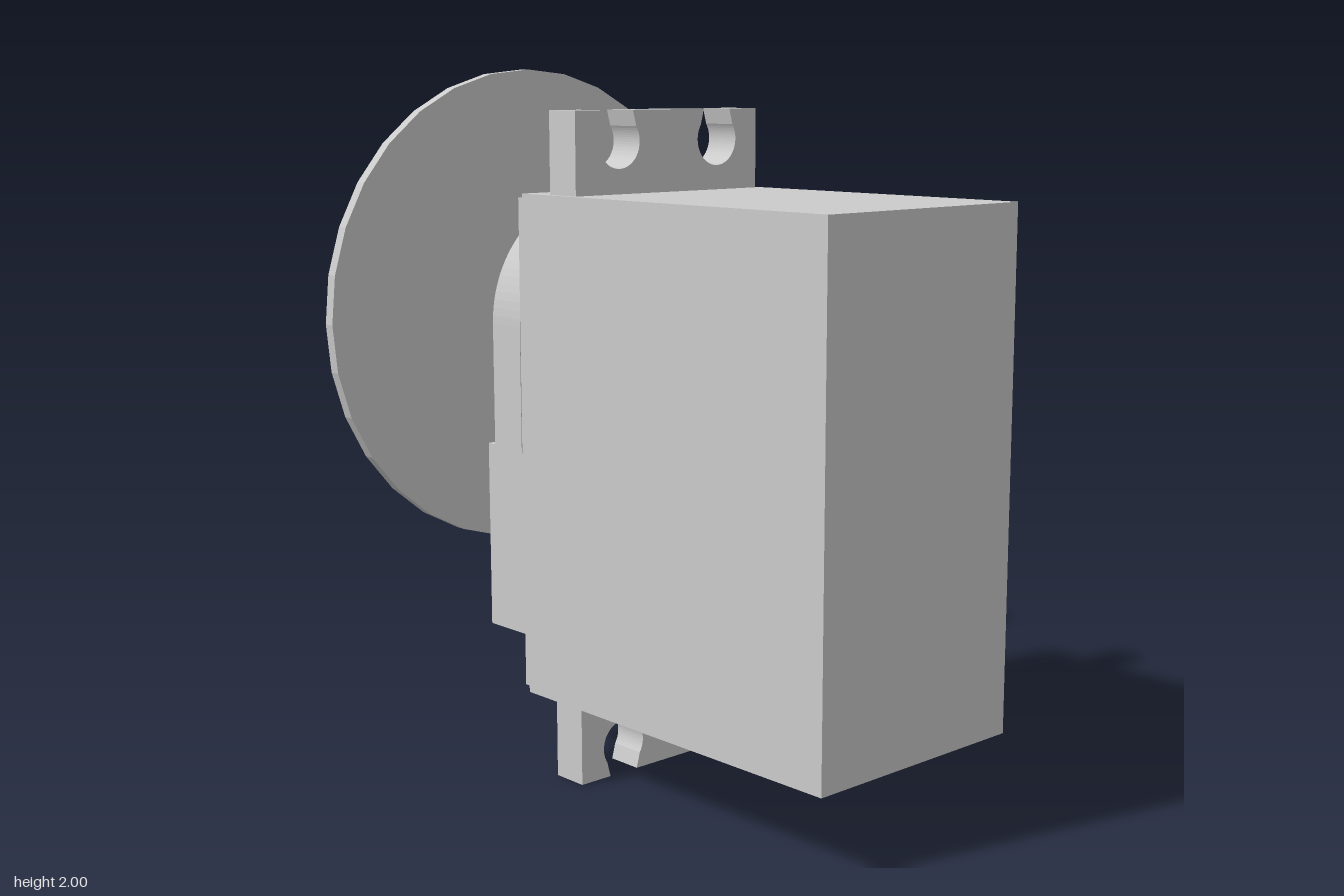
import * as THREE from 'three';

export function createModel() {
  const model = new THREE.Group();
  const material = new THREE.MeshStandardMaterial({ color: 0xcccccc, flatShading: true });
  const shaftY = 1.288;

  function add(name, geometry, x = 0, y = 0, z = 0, parent = model) {
    const mesh = new THREE.Mesh(geometry, material);
    mesh.name = name;
    mesh.position.set(x, y, z);
    parent.add(mesh);
    return mesh;
  }
  // Box given by its limits; always centred on x = 0
  function block(name, width, y0, y1, z0, z1, parent) {
    return add(name, new THREE.BoxGeometry(width, y1 - y0, z1 - z0), 0, (y0 + y1) / 2, (z0 + z1) / 2, parent);
  }
  // Outline in x/y, extruded from z0 to z1
  function slab(name, shape, z0, z1, y = 0, parent = model) {
    const geometry = new THREE.ExtrudeGeometry(shape, { depth: z1 - z0, bevelEnabled: false, curveSegments: 24 });
    return add(name, geometry, 0, y, z0, parent);
  }
  // Cylinder along z on the shaft axis
  function disc(name, radius, z0, z1, sides) {
    const geometry = new THREE.CylinderGeometry(radius, radius, z1 - z0, sides).rotateX(Math.PI / 2);
    return add(name, geometry, 0, shaftY, (z0 + z1) / 2);
  }

  // Case, with a slightly inset cover at the back
  block('case', 0.712, 0.232, 1.662, -0.337, 0.82);
  block('caseCover', 0.708, 0.25, 1.65, -0.356, -0.337);

  // Mounting ears: keyhole slots that narrow towards the open edge
  const ear = new THREE.Shape();
  const [holeX, holeY, holeR, gap, top] = [0.183, 0.145, 0.074, 0.05, 0.23];
  const neck = 0.62; // angle from the slot axis to where the neck meets the hole
  const wide = Math.PI / 2;
  ear.moveTo(-0.338, 0);
  ear.lineTo(0.338, 0);
  ear.lineTo(0.338, top);
  for (const x of [holeX, -holeX]) {
    ear.lineTo(x + gap, top);
    const a = wide - neck * 1.6;
    ear.lineTo(x + holeR * Math.cos(a), holeY + holeR * Math.sin(a));
    ear.absarc(x, holeY, holeR, a, Math.PI - a, true);
    ear.lineTo(x - gap, top);
  }
  ear.lineTo(-0.338, top);
  ear.closePath();
  for (const upper of [true, false]) {
    const group = new THREE.Group();
    group.name = upper ? 'upperEar' : 'lowerEar';
    slab('earPlate', ear, -0.235, -0.125, 0, group);
    block('earRib', 0.018, 0, 0.218, -0.246, -0.235, group);
    group.position.y = upper ? 1.66 : 0.233;
    if (!upper) {
      // Turn the ear over, keeping its rib at the back
      group.rotation.z = Math.PI;
    }
    model.add(group);
  }

  // Gear housing with a rounded top
  const housing = new THREE.Shape();
  housing.moveTo(-0.356, 0.93);
  housing.lineTo(0.356, 0.93);
  housing.lineTo(0.356, shaftY);
  housing.absarc(0, shaftY, 0.356, 0, Math.PI, false);
  housing.closePath();
  slab('gearHousing', housing, -0.48, -0.356);

  // Raised lower cover and the curved cable guard below it
  block('lowerCover', 0.704, 0.4, 0.938, -0.516, -0.356);
  const guard = new THREE.Shape();
  const halfAngle = Math.asin(0.18 / 0.35);
  guard.absarc(0, 0.7, 0.35, -wide - halfAngle, -wide + halfAngle, false);
  guard.closePath();
  slab('cableGuard', guard, -0.44, -0.356);

  // Bearing collars
  disc('bearingBase', 0.177, -0.535, -0.48, 48);
  disc('bearingCollar', 0.145, -0.572, -0.535, 48);

  // Toothed output shaft
  const teeth = 25;
  const spline = new THREE.Shape();
  for (let i = 0; i < teeth * 4; i++) {
    const angle = (i / (teeth * 4)) * Math.PI * 2;
    const r = i % 4 < 2 ? 0.088 : 0.078;
    spline[i ? 'lineTo' : 'moveTo'](r * Math.cos(angle), r * Math.sin(angle));
  }
  spline.closePath();
  slab('outputShaft', spline, -0.756, -0.572, shaftY);

  // Dial with its pointer and hub pin
  disc('dial', 0.713, -0.789, -0.755, 32);
  block('pointer', 0.044, shaftY, 1.938, -0.81, -0.789);
  disc('hubPin', 0.035, -0.826, -0.789, 20);

  return model;
}
